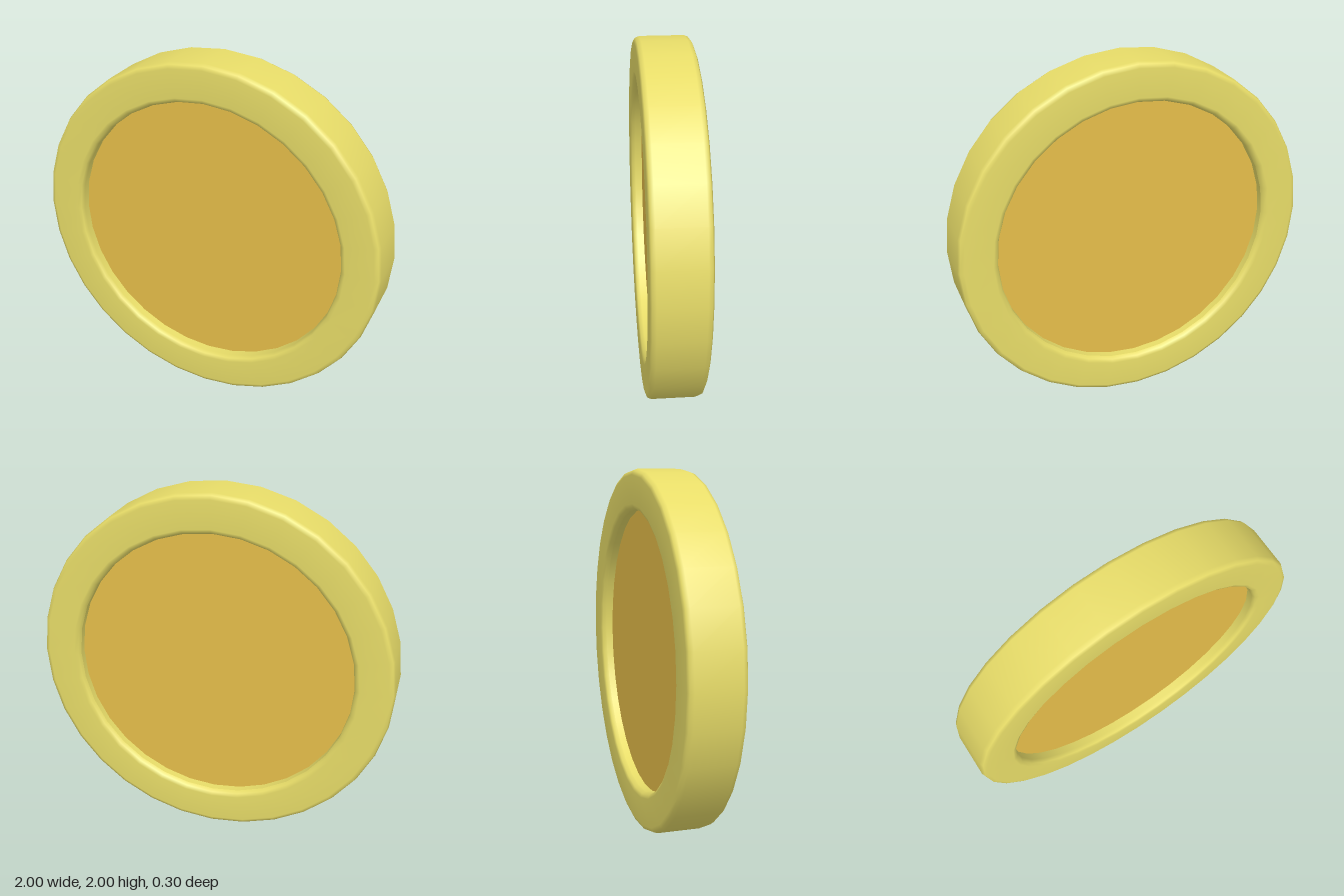
import * as THREE from 'three';

const SIDES = 32;

export function createModel() {
  const coin = new THREE.Group();
  coin.name = 'coin';

  // Raised rim: one rounded profile, mirrored front to back, closed and turned around the axis
  const front = [
    [1, 0.12], [0.991, 0.141], [0.97, 0.15],
    [0.815, 0.15], [0.794, 0.141], [0.785, 0.12],
  ];
  const back = front.map(([r, d]) => [r, -d]).reverse();
  const profile = [...back, ...front, back[0]].map(([r, d]) => new THREE.Vector2(r, d));
  const rim = new THREE.Mesh(
    new THREE.LatheGeometry(profile, SIDES).rotateX(Math.PI / 2),
    new THREE.MeshStandardMaterial({ color: 0xe7dc68 })
  );
  rim.name = 'rim';

  // Flat disc, recessed on both faces
  const disc = new THREE.Mesh(
    new THREE.CylinderGeometry(0.787, 0.787, 0.16, SIDES).rotateX(Math.PI / 2),
    new THREE.MeshStandardMaterial({ color: 0xe6be4a })
  );
  disc.name = 'disc';

  coin.add(rim, disc);
  coin.position.y = 1;

  const model = new THREE.Group();
  model.add(coin);
  return model;
}
